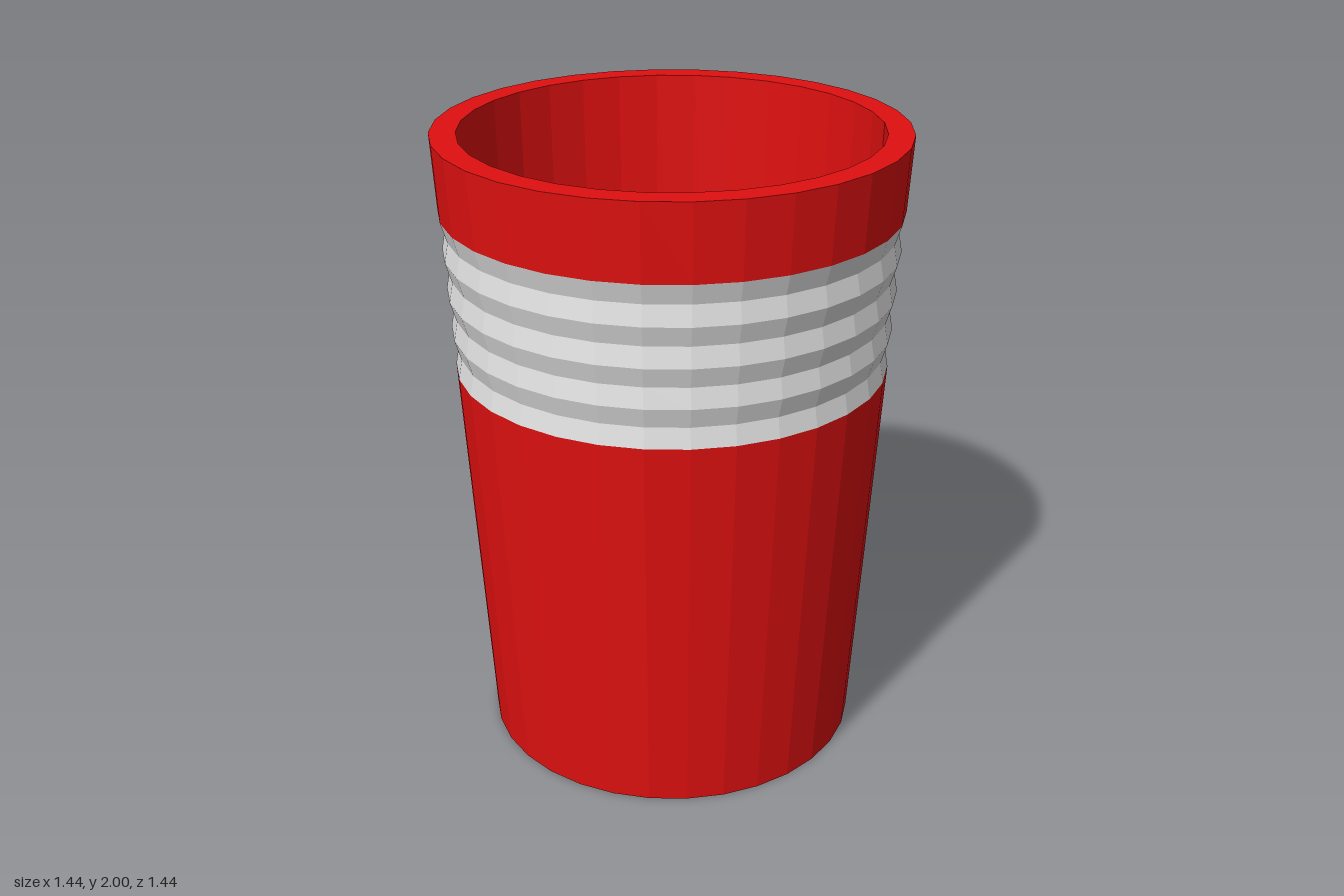
import * as THREE from 'three';

const SIDES = 32;
// outer wall radius of the tapered cup at a given height
const wall = (y) => 0.6 + 0.06 * y;

// faceted surface of revolution from [radius, height] pairs
function turned(name, profile, material) {
  const lathe = new THREE.LatheGeometry(profile.map(([r, y]) => new THREE.Vector2(r, y)), SIDES);
  const geometry = lathe.toNonIndexed();
  geometry.computeVertexNormals();
  const mesh = new THREE.Mesh(geometry, material);
  mesh.name = name;
  return mesh;
}

export function createModel() {
  const red = new THREE.MeshStandardMaterial({ color: 0xe01010 });
  red.name = 'red';
  const white = new THREE.MeshStandardMaterial({ color: 0xe0e0e0 });
  white.name = 'white';

  const cup = new THREE.Group();
  cup.name = 'cup';
  const bandBottom = 1.263, bandTop = 1.765;

  // underside and lower outer wall
  cup.add(turned('lowerBody', [[0, 0], [wall(0), 0], [wall(bandBottom), bandBottom]], red));

  // grip band: four shallow grooves between the wide ridges
  const ribs = [];
  for (let i = 0; i <= 8; i++) {
    const y = bandBottom + (bandTop - bandBottom) * i / 8;
    ribs.push([wall(y) - (i % 2 ? 0.015 : 0), y]);
  }
  cup.add(turned('ribbedBand', ribs, white));

  // upper outer wall and flat rim
  cup.add(turned('rim', [[wall(bandTop), bandTop], [wall(2), 2], [0.64, 2]], red));

  // inner wall and floor
  cup.add(turned('interior', [[0.64, 2], [0.59, 0.1], [0, 0.1]], red));

  return cup;
}
